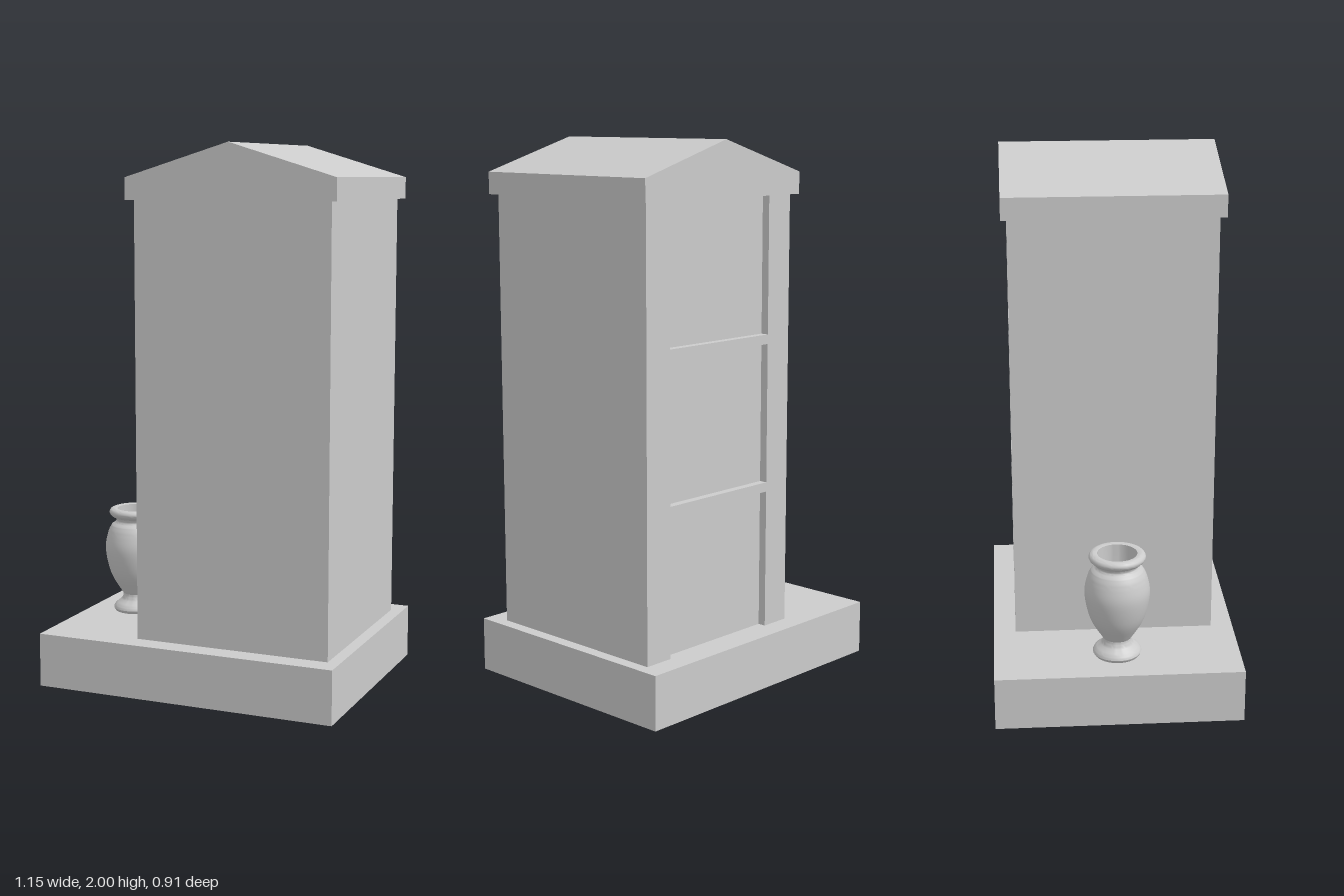
import * as THREE from 'three';
import { toCreasedNormals } from 'three/addons/utils/BufferGeometryUtils.js';

const grey = new THREE.MeshStandardMaterial({ color: 0xcccccc });

function add(group, name, geometry, x = 0, y = 0, z = 0) {
  const mesh = new THREE.Mesh(geometry, grey);
  mesh.name = name;
  mesh.position.set(x, y, z);
  group.add(mesh);
  return mesh;
}

function polygon(points) {
  return new THREE.Shape(points.map(([x, y]) => new THREE.Vector2(x, y)));
}

function extrude(points, depth) {
  return new THREE.ExtrudeGeometry(polygon(points), { depth, bevelEnabled: false });
}

export function createModel() {
  const model = new THREE.Group();
  model.name = 'columbariumMonument';
  const cx = 0.16; // centre line of the tower

  // Plinth
  add(model, 'base', new THREE.BoxGeometry(1.15, 0.2, 0.91), 0, 0.1, 0);

  // Tower: a plan with a shallow recess in the back, raised to full height
  const w = 0.37, d = 0.373, n = 0.255, recess = 0.03;
  const plan = [[-w, -d], [w, -d], [w, d], [n, d], [n, d - recess],
    [-n, d - recess], [-n, d], [-w, d]];
  const tower = extrude(plan, 1.6);
  tower.rotateX(-Math.PI / 2);
  add(model, 'tower', tower, cx, 0.2, 0);

  // Two ledges split the recess into three niches
  for (const y of [0.733, 1.282]) {
    add(model, 'nicheLedge', new THREE.BoxGeometry(2 * n, 0.035, recess), cx, y, -d + recess / 2);
  }

  // Gabled roof slab, ridge running front to back
  const roof = extrude([[-0.395, 0], [0.395, 0], [0.395, 0.08], [0, 0.2], [-0.395, 0.08]], 0.79);
  add(model, 'roof', roof, cx, 1.8, -0.395);

  // Vase: straight and curved runs of one turned profile, with a hollow mouth
  const curve = (points, count) =>
    new THREE.SplineCurve(points.map(([r, y]) => new THREE.Vector2(r, y))).getPoints(count);
  const profile = [
    new THREE.Vector2(0, 0),
    ...curve([[0.083, 0], [0.09, 0.012], [0.083, 0.026]], 6),
    ...curve([[0.075, 0.032], [0.056, 0.05], [0.052, 0.068]], 6),
    ...curve([[0.057, 0.075], [0.1, 0.15], [0.12, 0.245], [0.11, 0.31], [0.095, 0.342]], 20),
    ...curve([[0.085, 0.348], [0.077, 0.358], [0.082, 0.37]], 5),
    ...curve([[0.092, 0.374], [0.104, 0.388], [0.1, 0.402], [0.088, 0.408]], 8),
    new THREE.Vector2(0.073, 0.405),
    new THREE.Vector2(0.072, 0.3),
    new THREE.Vector2(0, 0.3),
  ];
  add(model, 'vase', toCreasedNormals(new THREE.LatheGeometry(profile, 48), 0.6), -0.396, 0.2, 0);

  return model;
}
